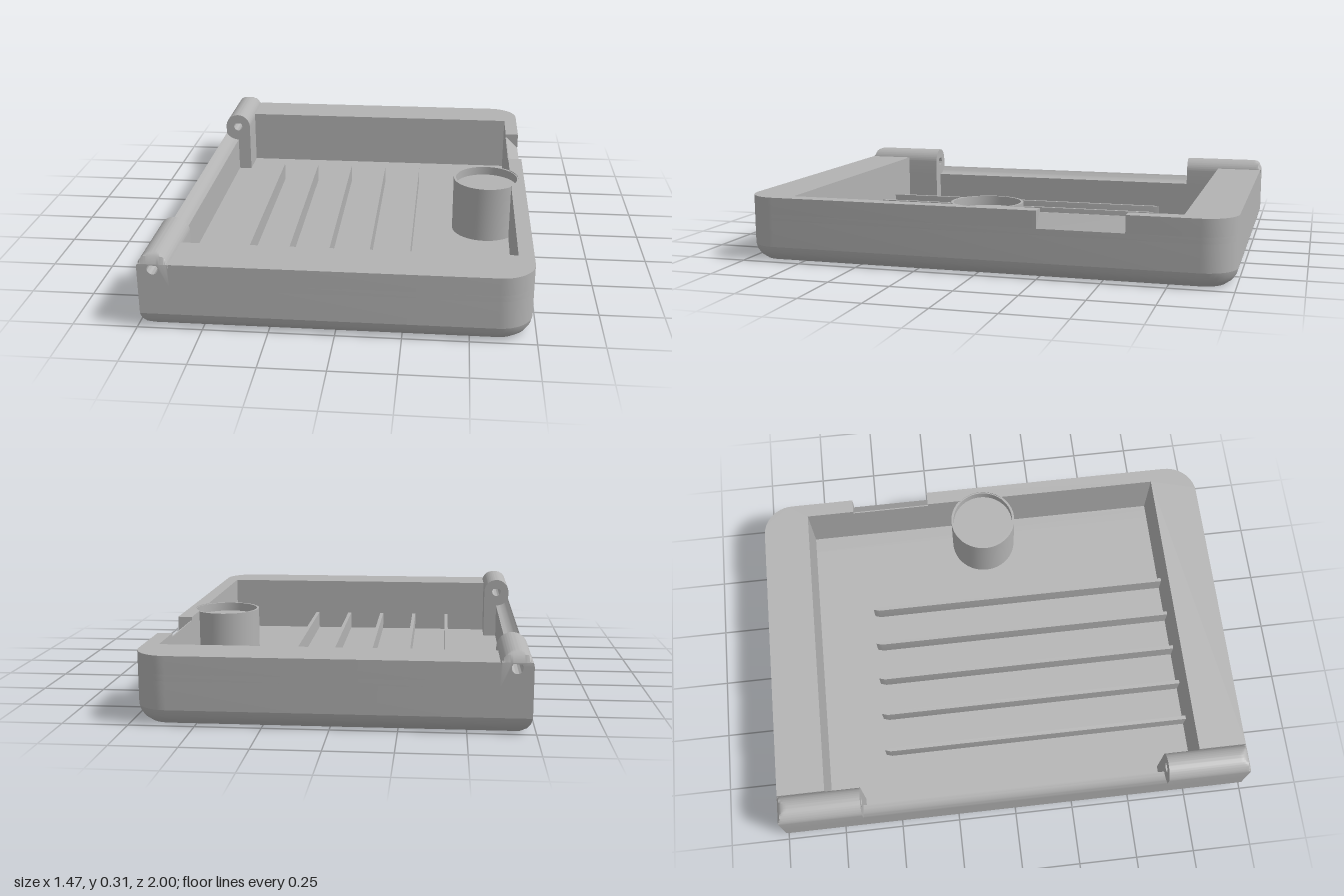
import * as THREE from 'three';
import { toCreasedNormals } from 'three/addons/utils/BufferGeometryUtils.js';

const W = 0.735, L = 1, RIM = 0.265;      // half width, half length, rim height
const IN = 0.675, END = 0.8, FLOOR = 0.02; // cavity half width, half length, floor height
const HINGE_X = -0.675, HINGE_Y = 0.245, HINGE_R = 0.06, HINGE_Z = 0.65;
const CUP_X = 0.57;

export function createModel() {
  const group = new THREE.Group();
  const grey = new THREE.MeshStandardMaterial({ color: 0xb3b3b3 });
  grey.name = 'grey';

  function add(name, geometry, crease = 0.6) {
    const mesh = new THREE.Mesh(toCreasedNormals(geometry, crease), grey);
    mesh.name = name;
    group.add(mesh);
    return mesh;
  }
  const poly = (pts) => new THREE.Shape(pts.map(([x, y]) => new THREE.Vector2(x, y)));
  // Plan shapes use (x, -z) and are extruded upwards
  function slab(name, shape, y0, y1) {
    const g = new THREE.ExtrudeGeometry(shape, { depth: y1 - y0, bevelEnabled: false, curveSegments: 20 });
    return add(name, g.rotateX(-Math.PI / 2).translate(0, y0, 0));
  }
  // Profile shapes use (x, y) and are extruded along z
  function prism(name, shape, z0, z1) {
    const g = new THREE.ExtrudeGeometry(shape, { depth: z1 - z0, bevelEnabled: false });
    return add(name, g.translate(0, 0, z0));
  }
  function box(name, x0, x1, y0, y1, z0, z1) {
    const g = new THREE.BoxGeometry(x1 - x0, y1 - y0, z1 - z0);
    return add(name, g.translate((x0 + x1) / 2, (y0 + y1) / 2, (z0 + z1) / 2));
  }
  function corner(cx, cy, r, a0) {
    return Array.from({ length: 13 }, (_, i) => {
      const a = a0 + (i / 12) * Math.PI / 2;
      return [cx + r * Math.cos(a), cy + r * Math.sin(a)];
    });
  }
  // Tray outline: square on the hinge side, rounded on the other
  const R = 0.13;
  const outline = (d) => [
    [-W + d, -L + d],
    ...corner(W - R, -L + R, R - d, -Math.PI / 2),
    ...corner(W - R, L - R, R - d, 0),
    [-W + d, L - d],
  ];
  function walls(d) {
    const s = poly(outline(d));
    s.holes.push(poly([[-IN, -END], [-IN, END], [IN, END], [IN, -END]]));
    return s;
  }

  // Rounded bottom edge, lofted through inset outlines
  const rings = [[0.045, 0], [0.02, 0.018], [0.006, 0.038], [0, 0.06]];
  const pos = [], index = [];
  rings.forEach(([d, y]) => outline(d).forEach(([x, s]) => pos.push(x, y, -s)));
  const n = outline(0).length;
  for (let k = 0; k < rings.length - 1; k++) {
    for (let i = 0; i < n; i++) {
      const j = (i + 1) % n, a = k * n + i, b = k * n + j;
      index.push(a, b, b + n, a, b + n, a + n);
    }
  }
  const edge = new THREE.BufferGeometry();
  edge.setAttribute('position', new THREE.Float32BufferAttribute(pos, 3));
  edge.setIndex(index);
  add('bottomEdge', edge, 0.8);

  // Floor and lower walls
  slab('floor', poly(outline(0.045)), 0, FLOOR);
  slab('wallFoot', walls(0.045), FLOOR, 0.06);
  slab('lowerWall', walls(0), 0.06, 0.17);

  // Middle wall, open on the hinge side
  const HX = HINGE_X + HINGE_R;
  slab('middleWall', poly([
    [HX, -L], ...corner(W - R, -L + R, R, -Math.PI / 2), ...corner(W - R, L - R, R, 0),
    [HX, L], [HX, END], [IN, END], [IN, -END], [HX, -END],
  ]), 0.17, 0.195);

  // Upper walls on both sides of the latch notch
  const N0 = 0.245, N1 = 0.59;
  slab('backRim', poly([
    [IN, N1], [W, N1], ...corner(W - R, L - R, R, 0), [HX, L], [HX, END], [IN, END],
  ]), 0.195, RIM);
  const cut = 0.14, a = Math.acos((IN - CUP_X) / cut);
  const arc = Array.from({ length: 17 }, (_, i) => {
    const t = a - (i / 16) * 2 * a;
    return [CUP_X + cut * Math.cos(t), cut * Math.sin(t)];
  });
  slab('frontRim', poly([
    [HX, -L], ...corner(W - R, -L + R, R, -Math.PI / 2), [W, N0], [IN, N0],
    ...arc, [IN, -END], [HX, -END],
  ]), 0.195, RIM);
  prism('latchRamp', poly([[IN, 0.195], [W, 0.195], [IN + 0.005, 0.25], [IN, 0.25]]), -N1, -N0);

  // Hinge side wall with a hollow that clears the mating barrel
  const hollow = Array.from({ length: 9 }, (_, i) => {
    const x = HINGE_X - (i / 8) * 0.06;
    return [x, HINGE_Y - Math.sqrt(0.07 ** 2 - (x - HINGE_X) ** 2)];
  });
  prism('hingeWall', poly([[-W, 0.17], [-IN, 0.17], ...hollow]), -HINGE_Z, HINGE_Z);

  // Hinge barrels with teardrop pin holes and rounded outer ends
  for (const side of [1, -1]) {
    const s = new THREE.Shape();
    s.moveTo(-W, 0.17);
    s.lineTo(HX, 0.17);
    s.lineTo(HX, HINGE_Y);
    s.absarc(HINGE_X, HINGE_Y, HINGE_R, 0, Math.PI, false);
    s.closePath();
    const hole = new THREE.Path();
    hole.moveTo(HINGE_X, HINGE_Y + 0.028);
    hole.absarc(HINGE_X, HINGE_Y, 0.021, Math.PI * 0.75, Math.PI * 2.25, false);
    hole.closePath();
    s.holes.push(hole);
    const g = new THREE.ExtrudeGeometry(s, { depth: L - HINGE_Z, steps: 32, bevelEnabled: false, curveSegments: 20 });
    g.translate(0, 0, side > 0 ? HINGE_Z : -L);
    const p = g.attributes.position, r = 0.04;
    for (let i = 0; i < p.count; i++) {
      const t = Math.max(0, Math.abs(p.getZ(i)) - (L - r));
      const top = HINGE_Y + HINGE_R - r + Math.sqrt(Math.max(0, r * r - t * t));
      p.setY(i, Math.min(p.getY(i), top));
    }
    add(side > 0 ? 'frontHinge' : 'backHinge', g);
    const z = [side * HINGE_Z, side * END].sort((u, v) => u - v);
    box('hingeBlock', -IN, HX, FLOOR, 0.17, z[0], z[1]);
  }

  // Floor ribs with pointed ends
  for (let i = 0; i < 5; i++) {
    const x = -0.425 + i * 0.168, w = 0.008;
    slab('rib', poly([[x - w, -END], [x + w, -END], [x + w, 0.52], [x, 0.545], [x - w, 0.52]]), FLOOR, 0.1);
  }

  // Round cup with a shallow recess
  const cup = new THREE.LatheGeometry([
    [0.145, FLOOR], [0.145, 0.262], [0.135, 0.262], [0.135, 0.225], [0, 0.225],
  ].map(([x, y]) => new THREE.Vector2(x, y)).reverse(), 48);
  // Reversed profile runs from the centre outwards, so flip the winding
  const ci = cup.index.array;
  for (let i = 0; i < ci.length; i += 3) [ci[i], ci[i + 1]] = [ci[i + 1], ci[i]];
  add('cup', cup.translate(CUP_X, 0, 0));

  return group;
}
